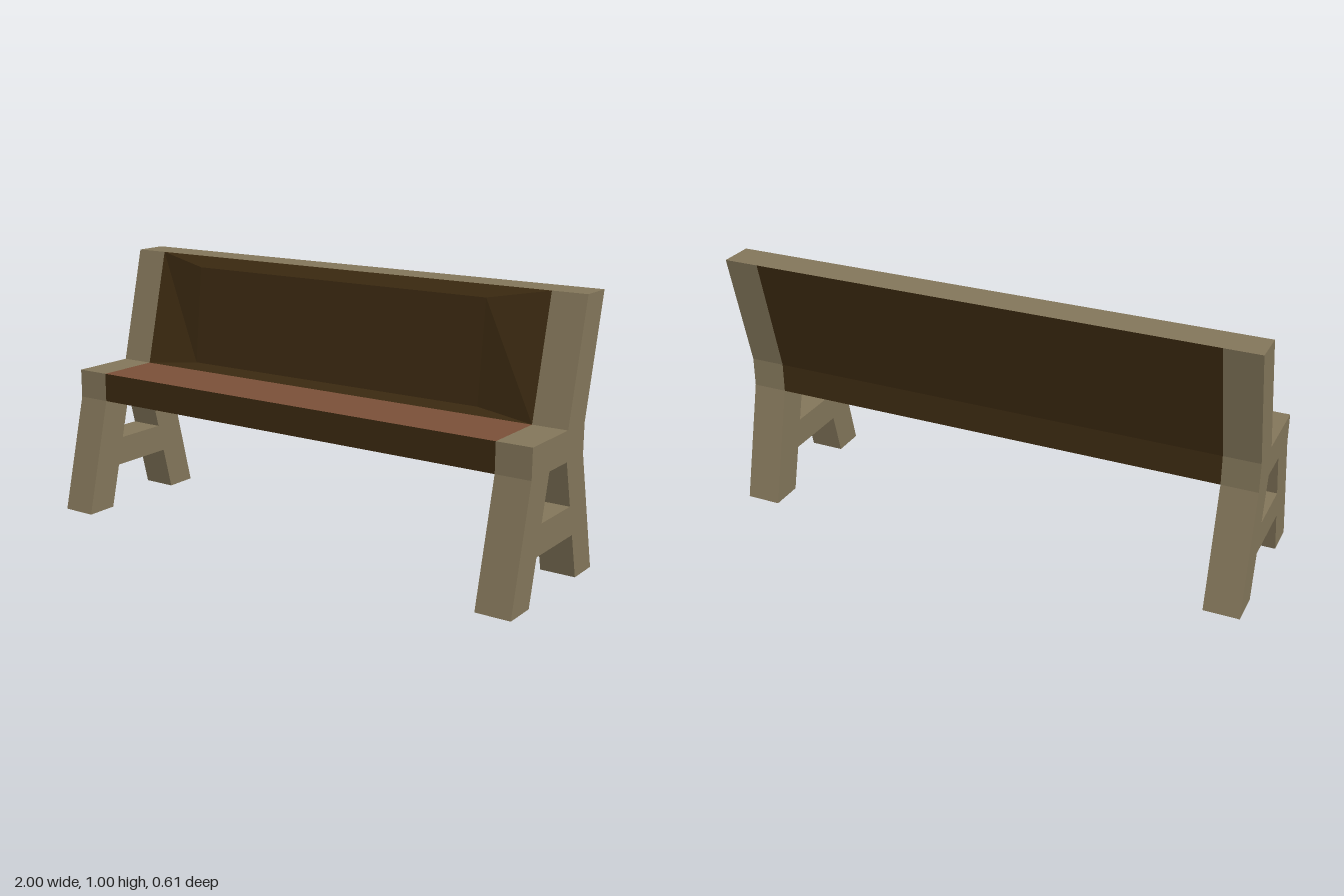
import * as THREE from 'three';

const wood = new THREE.MeshStandardMaterial({ color: 0x83765a, flatShading: true });
const darkWood = new THREE.MeshStandardMaterial({ color: 0x3c2a11, flatShading: true });
const redWood = new THREE.MeshStandardMaterial({ color: 0x7a5038, flatShading: true });

const INNER = 0.867; // inner face of the side frames
const THICK = 1 - INNER;

// Extrudes a [z, y] outline along x, starting at x0 and THICK wide.
function sidePiece(points, x0, name) {
  const shape = new THREE.Shape(points.map(([z, y]) => new THREE.Vector2(z, y)));
  const geo = new THREE.ExtrudeGeometry(shape, { depth: THICK, bevelEnabled: false });
  geo.rotateY(-Math.PI / 2).translate(x0 + THICK, 0, 0);
  const mesh = new THREE.Mesh(geo, wood);
  mesh.name = name;
  return mesh;
}

// Joins cross-sections along x; each profile edge becomes one material group.
function loft(sections, materialOfEdge) {
  const pos = [];
  const geo = new THREE.BufferGeometry();
  const n = sections[0].length;
  for (let e = 0; e < n; e++) {
    const start = pos.length / 3;
    const f = (e + 1) % n;
    for (let s = 0; s < sections.length - 1; s++) {
      const A = sections[s], B = sections[s + 1];
      for (const p of [A[e], A[f], B[f], A[e], B[f], B[e]]) pos.push(...p);
    }
    geo.addGroup(start, pos.length / 3 - start, materialOfEdge(e));
  }
  geo.setAttribute('position', new THREE.Float32BufferAttribute(pos, 3));
  geo.computeVertexNormals();
  return geo;
}

export function createModel() {
  const bench = new THREE.Group();
  bench.name = 'bench';

  // Side frames: both legs, seat support and back post in one outline
  const frame = [
    [0.305, 0], [0.195, 0.445], [0.195, 0.556], [-0.065, 0.556], [-0.175, 1],
    [-0.305, 1], [-0.195, 0.556], [-0.195, 0.445], [-0.305, 0], [-0.178, 0],
    [-0.066, 0.445], [0.066, 0.445], [0.178, 0],
  ];
  // Stretcher between the legs
  const stretcher = [[0.136, 0.168], [0.108, 0.278], [-0.108, 0.278], [-0.136, 0.168]];
  for (const [side, x0] of [['left', INNER], ['right', -1]]) {
    bench.add(sidePiece(frame, x0, side + 'Frame'));
    bench.add(sidePiece(stretcher, x0, side + 'Stretcher'));
  }

  // Seat slab with a lighter top
  const seat = new THREE.Mesh(
    new THREE.BoxGeometry(2 * INNER, 0.111, 0.39),
    [darkWood, darkWood, redWood, darkWood, darkWood, darkWood],
  );
  seat.position.y = 0.5005;
  seat.name = 'seat';
  bench.add(seat);

  // Backrest: leaning slab whose front has a tilted inner panel
  const section = (x, inset) => {
    const top = [x, 1, -0.175], bottom = [x, 0.556, -0.065];
    return [
      [x, 0.556, -0.195], [x, 1, -0.305], top,
      inset ? [x, 0.96, -0.135] : top,
      inset ? [x, 0.58, -0.095] : bottom,
      bottom,
    ];
  };
  const sections = [
    section(-INNER, false), section(-0.64, true), section(0.64, true), section(INNER, false),
  ];
  const backrest = new THREE.Mesh(loft(sections, (e) => (e === 1 ? 1 : 0)), [darkWood, wood]);
  backrest.name = 'backrest';
  bench.add(backrest);

  return bench;
}
